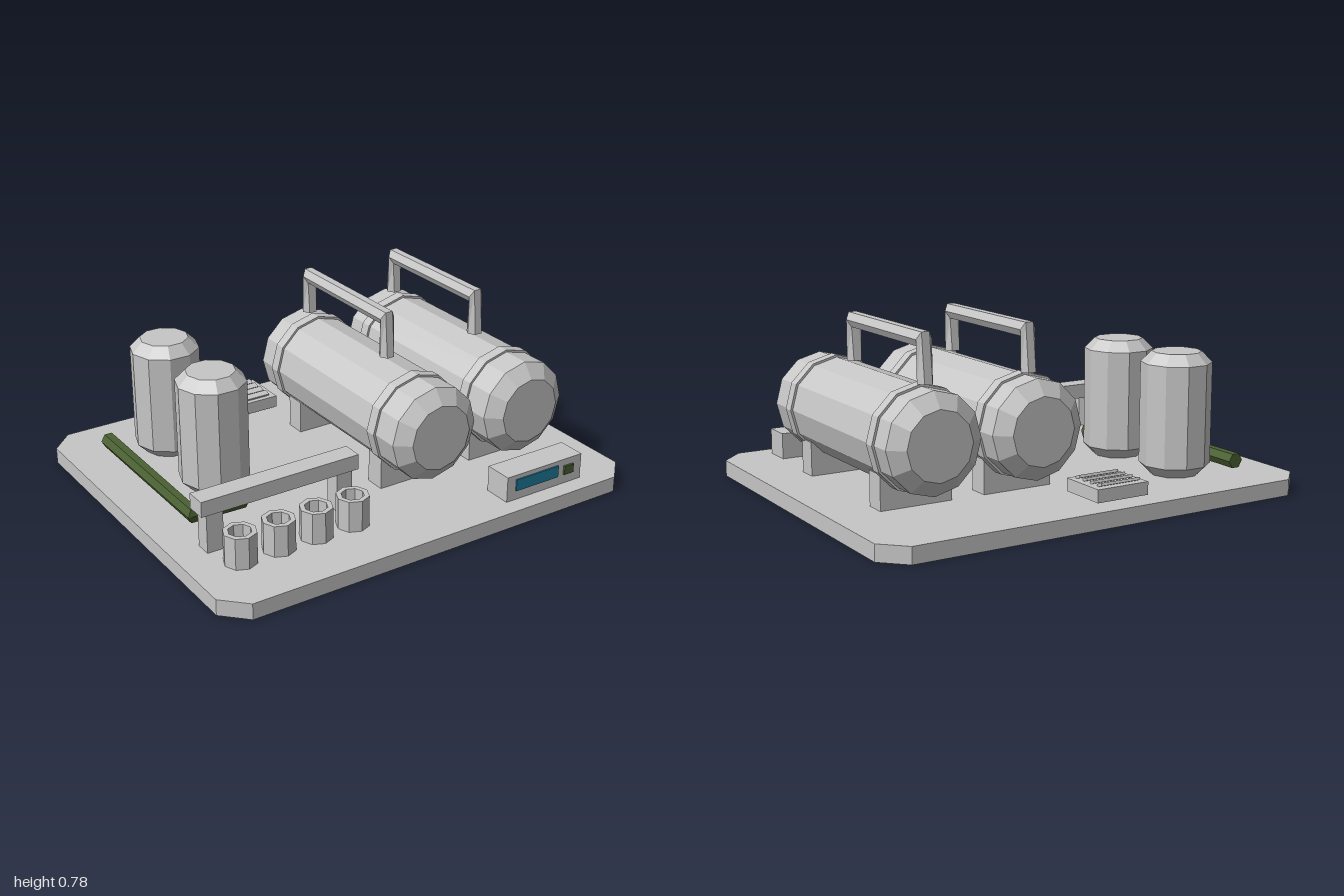
import * as THREE from 'three';

const paint = (name, color, flat = true) => {
  const m = new THREE.MeshStandardMaterial({ color, flatShading: flat });
  m.name = name;
  return m;
};

// Sweeps a six-sided ring along a bent path; each ring is [centre, axisA, axisB].
function sweep(rings) {
  const n = 6, pos = [], idx = [];
  const ringPoint = ([c, a, b], i) => {
    const t = (i / n) * Math.PI * 2;
    return c.map((v, k) => v + a[k] * Math.cos(t) + b[k] * Math.sin(t));
  };
  for (const r of rings) for (let i = 0; i < n; i++) pos.push(...ringPoint(r, i));
  for (let s = 0; s < rings.length - 1; s++) {
    for (let i = 0; i < n; i++) {
      const p = s * n + i, q = s * n + ((i + 1) % n);
      idx.push(p, q, q + n, p, q + n, p + n);
    }
  }
  const last = (rings.length - 1) * n;
  for (let i = 1; i < n - 1; i++) {
    idx.push(0, i + 1, i);
    idx.push(last, last + i, last + i + 1);
  }
  const g = new THREE.BufferGeometry();
  g.setAttribute('position', new THREE.Float32BufferAttribute(pos, 3));
  g.setIndex(idx);
  const flat = g.toNonIndexed();
  flat.computeVertexNormals();
  return flat;
}

// Closed tank with bevelled ends, standing along y and centred on the origin.
function tankGeometry(radius, capRadius, length, bevel, sides) {
  const h = length / 2;
  const profile = [[0, -h], [capRadius, -h], [radius, -h + bevel], [radius, h - bevel], [capRadius, h], [0, h]];
  return new THREE.LatheGeometry(profile.map(p => new THREE.Vector2(...p)), sides);
}

export function createModel() {
  const model = new THREE.Group();
  model.name = 'equipmentSkid';
  const metal = paint('grey metal', 0xc6c6c6);
  const green = paint('olive green', 0x4a6032);
  const blue = paint('screen blue', 0x1f7c9c);

  const add = (name, geometry, material, x = 0, y = 0, z = 0, parent = model) => {
    const mesh = new THREE.Mesh(geometry, material);
    mesh.name = name;
    mesh.position.set(x, y, z);
    parent.add(mesh);
    return mesh;
  };
  const box = (name, material, x0, x1, y0, y1, z0, z1, parent) =>
    add(name, new THREE.BoxGeometry(x1 - x0, y1 - y0, z1 - z0), material,
      (x0 + x1) / 2, (y0 + y1) / 2, (z0 + z1) / 2, parent);

  // Base plate with cut corners
  const W = 1, D = 0.83, C = 0.1;
  const outline = new THREE.Shape([
    [-W + C, -D], [W - C, -D], [W, -D + C], [W, D - C],
    [W - C, D], [-W + C, D], [-W, D - C], [-W, -D + C],
  ].map(p => new THREE.Vector2(...p)));
  const plate = new THREE.ExtrudeGeometry(outline, { depth: 0.07, bevelEnabled: false });
  plate.rotateX(-Math.PI / 2);
  add('basePlate', plate, metal);

  // Two horizontal tanks with bands, saddles and handles
  const tankGeo = tankGeometry(0.21, 0.145, 1.13, 0.05, 12).rotateX(Math.PI / 2);
  const bandGeo = new THREE.CylinderGeometry(0.22, 0.22, 0.05, 12).rotateX(Math.PI / 2);
  const r = 0.035, side = [r, 0, 0];
  const handleGeo = sweep([
    [[0, 0.575, -0.445], side, [0, 0, -r]],
    [[0, 0.747, -0.44], side, [0, 0.035, -0.015]],
    [[0, 0.747, 0.167], side, [0, 0.035, 0.015]],
    [[0, 0.575, 0.167], side, [0, 0, r]],
  ]);
  for (const x of [0.16, 0.63]) {
    const tank = new THREE.Group();
    tank.name = 'horizontalTank';
    tank.position.x = x;
    model.add(tank);
    add('tankBody', tankGeo, metal, 0, 0.35, 0, tank);
    for (const z of [-0.395, 0.367]) add('tankBand', bandGeo, metal, 0, 0.35, z, tank);
    for (const z of [-0.32, 0.32]) box('saddle', metal, -0.16, 0.16, 0.07, 0.217, z - 0.046, z + 0.046, tank);
    add('handle', handleGeo, metal, 0, 0, 0, tank);
  }

  // Two upright tanks
  const uprightGeo = tankGeometry(0.152, 0.106, 0.53, 0.046, 10).rotateY(Math.PI / 2);
  for (const z of [-0.477, -0.062]) add('uprightTank', uprightGeo, metal, -0.565, 0.335, z);

  // Bent green pipe
  const up = [0, r, 0];
  add('pipe', sweep([
    [[-0.803, 0.115, -0.6], [r, 0, 0], up],
    [[-0.805, 0.115, 0.2], [0.031, 0, -0.012], up],
    [[-0.57, 0.115, 0.197], [0, 0, -r], up],
  ]), green);

  // Rail on two legs
  box('rail', metal, -0.893, -0.163, 0.243, 0.31, 0.345, 0.436);
  for (const x of [-0.83, -0.226]) box('railLeg', metal, x - 0.037, x + 0.037, 0.07, 0.243, 0.355, 0.426);

  // Row of open cups with green floors
  const cupGeo = new THREE.LatheGeometry(
    [[0.048, 0.07], [0.07, 0.07], [0.07, 0.207], [0.048, 0.207], [0.048, 0.07]].map(p => new THREE.Vector2(...p)), 8);
  const floorGeo = new THREE.CylinderGeometry(0.046, 0.046, 0.01, 16);
  for (let i = 0; i < 4; i++) {
    const x = -0.787 + i * 0.174;
    add('cup', cupGeo, metal, x, 0, 0.545);
    add('cupFloor', floorGeo, green, x, 0.085, 0.545);
  }

  // Control box with screen and button
  box('controlBox', metal, 0.37, 0.772, 0.07, 0.185, 0.623, 0.75);
  box('screen', blue, 0.415, 0.643, 0.112, 0.165, 0.75, 0.756);
  box('button', green, 0.675, 0.725, 0.114, 0.154, 0.75, 0.759);

  // Vent box with tilted slats
  box('ventBox', metal, -0.214, 0.032, 0.085, 0.14, -0.757, -0.538);
  for (let i = 0; i < 4; i++) {
    const slat = add('ventSlat', new THREE.BoxGeometry(0.19, 0.012, 0.03), metal, -0.091, 0.148, -0.725 + i * 0.05);
    slat.rotation.x = 0.35;
  }

  return model;
}
